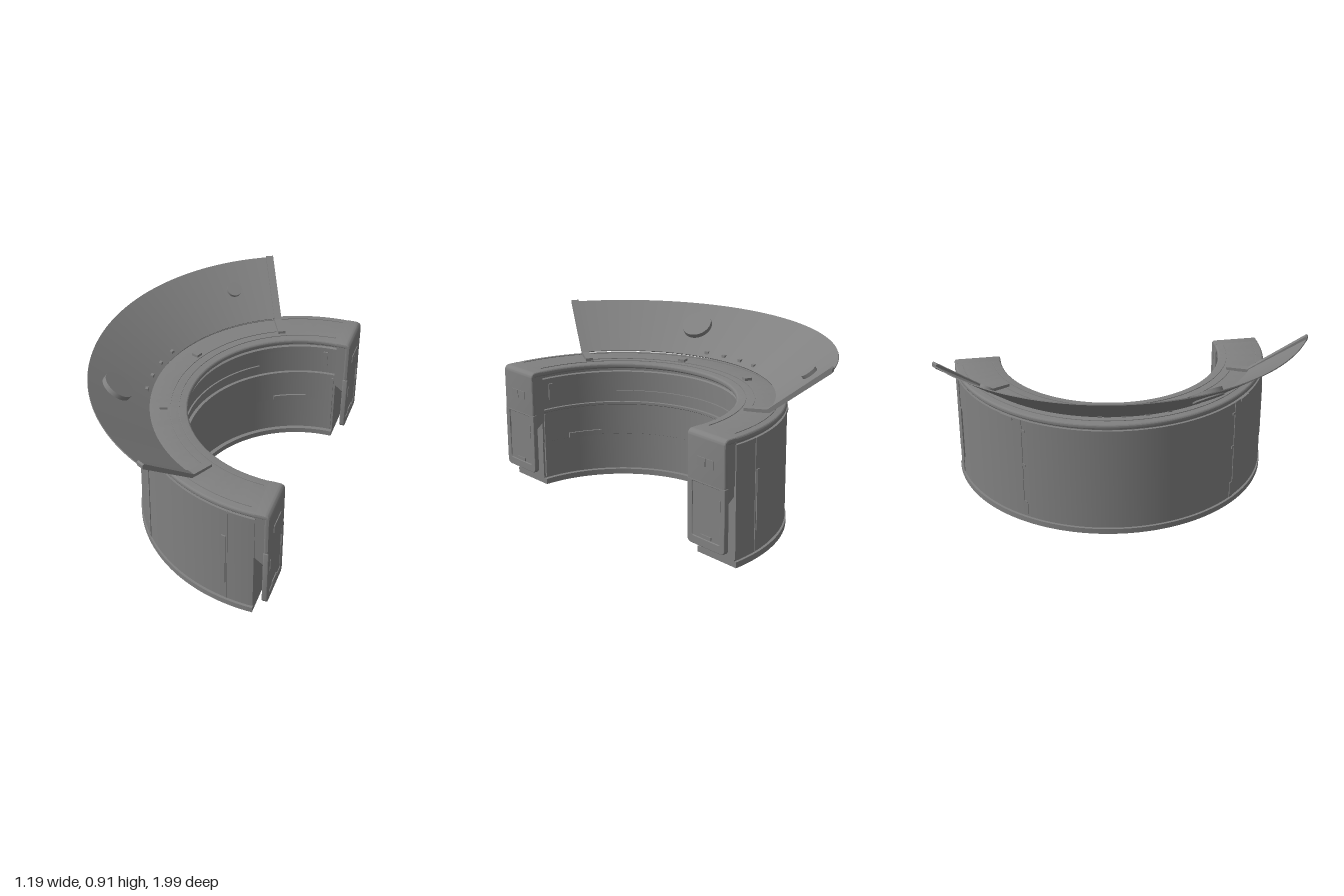
import * as THREE from 'three';
import { toCreasedNormals } from 'three/addons/utils/BufferGeometryUtils.js';

const CENTRE_X = 0.52; // centre of every arc
const rad = THREE.MathUtils.degToRad;
const grey = new THREE.MeshStandardMaterial({ color: 0x808080 });
const greyDouble = new THREE.MeshStandardMaterial({ color: 0x808080, side: THREE.DoubleSide });

function mesh(name, geometry, material = grey) {
  const m = new THREE.Mesh(geometry, material);
  m.name = name;
  return m;
}

// Turns an object so its local x points radially; 0 degrees is -x, +90 is +z.
function polar(object, degrees) {
  const g = new THREE.Group();
  g.name = object.name;
  g.add(object);
  g.rotation.y = rad(degrees) + Math.PI;
  return g;
}

// Sweeps a counter-clockwise closed [radius, y] profile along an arc and caps both ends.
function ring(name, profile, from = -90, to = 90) {
  const g = new THREE.Group();
  g.name = name;
  const pts = profile.map(([r, y]) => new THREE.Vector2(r, y));
  const lathe = new THREE.LatheGeometry([...pts, pts[0].clone()], 96, rad(from) + Math.PI * 1.5, rad(to - from));
  g.add(mesh(name, toCreasedNormals(lathe, 0.35)));
  for (const a of [from, to]) {
    g.add(polar(mesh(name + 'End', new THREE.ShapeGeometry(new THREE.Shape(pts)), greyDouble), a));
  }
  return g;
}

const band = (r0, r1, y0, y1) => [[r0, y0], [r1, y0], [r1, y1], [r0, y1]];

// Box sitting on a curved wall: w along the arc, h up, d radial.
function wallBox(name, degrees, r, y, w, h, d) {
  const m = mesh(name, new THREE.BoxGeometry(d, h, w));
  m.position.set(r, y, 0);
  return polar(m, degrees);
}

function block(name, x0, x1, y0, y1, z0, z1) {
  const m = mesh(name, new THREE.BoxGeometry(x1 - x0, y1 - y0, z1 - z0));
  m.position.set((x0 + x1) / 2, (y0 + y1) / 2, (z0 + z1) / 2);
  return m;
}

// Rectangle with its own corner radius at the bottom and at the top
function roundedRect(path, x0, y0, x1, y1, rb, rt) {
  path.absarc(x1 - rb, y0 + rb, rb, -Math.PI / 2, 0);
  path.absarc(x1 - rt, y1 - rt, rt, 0, Math.PI / 2);
  path.absarc(x0 + rt, y1 - rt, rt, Math.PI / 2, Math.PI);
  path.absarc(x0 + rb, y0 + rb, rb, Math.PI, Math.PI * 1.5);
  path.closePath();
  return path;
}

// End unit of one arm, built around z = 0
function armEnd() {
  const g = new THREE.Group();
  g.name = 'armEnd';

  // Counter lip that bends over and down the end, with a core behind it
  const side = new THREE.Shape();
  side.moveTo(-0.006, 0.625);
  side.lineTo(0.046, 0.625);
  side.lineTo(0.046, 0.41);
  side.lineTo(0.073, 0.41);
  side.lineTo(0.073, 0.625);
  side.absarc(0.045, 0.625, 0.028, 0, Math.PI / 2);
  side.lineTo(-0.006, 0.653);
  const lip = new THREE.ExtrudeGeometry(side, {
    depth: 0.235, bevelSize: 0.01, bevelThickness: 0.01, bevelOffset: -0.01, bevelSegments: 3, curveSegments: 4,
  });
  lip.translate(0, 0, -0.1175);
  g.add(mesh('endLip', toCreasedNormals(lip, 0.35)));
  g.add(block('endCore', -0.005, 0.06, 0.412, 0.64, -0.121, 0.121));

  // Hanging front panel with a recessed door
  const front = roundedRect(new THREE.Shape(), -0.1275, 0.08, 0.1275, 0.412, 0.025, 0.004);
  front.holes.push(roundedRect(new THREE.Path(), -0.093, 0.125, 0.093, 0.4, 0.008, 0.004));
  const panel = new THREE.ExtrudeGeometry(front, {
    depth: 0.016, bevelSize: 0.004, bevelThickness: 0.006, bevelOffset: -0.004, bevelSegments: 3, curveSegments: 6,
  });
  panel.rotateY(Math.PI / 2).translate(0.051, 0, 0);
  g.add(mesh('endPanel', toCreasedNormals(panel, 0.35)));
  g.add(block('recessedDoor', 0.05, 0.068, 0.11, 0.408, -0.11, 0.11));
  g.add(block('doorLatch', 0.06, 0.073, 0.127, 0.145, -0.035, 0.035));
  for (const s of [-1, 1]) {
    g.add(block('doorGrip', 0.06, 0.076, 0.28, 0.35, s * 0.095 - 0.004, s * 0.095 + 0.004));
    g.add(block('socket', 0.06, 0.077, 0.492, 0.535, s * 0.029 - 0.027, s * 0.029 + 0.027));
  }

  // Wedge bracket behind the panel
  const wedge = new THREE.Shape();
  wedge.moveTo(-0.005, 0.415);
  wedge.lineTo(-0.005, 0.362);
  wedge.lineTo(0.052, 0.318);
  wedge.lineTo(0.052, 0.415);
  const bracket = new THREE.ExtrudeGeometry(wedge, { depth: 0.23, bevelEnabled: false });
  bracket.translate(0, 0, -0.115);
  g.add(mesh('wedgeBracket', bracket));
  return g;
}

export function createModel() {
  const model = new THREE.Group();
  model.name = 'curvedCounter';
  const arc = new THREE.Group();
  arc.name = 'counter';
  arc.position.x = CENTRE_X;
  model.add(arc);

  // Base, stepped body and rounded counter top
  arc.add(ring('base', band(0.612, 0.876, 0, 0.03)));
  arc.add(ring('body', [
    [0.635, 0.025], [0.862, 0.025], [0.862, 0.04], [0.87, 0.04], [0.87, 0.615], [0.856, 0.615], [0.856, 0.645],
    [0.64, 0.645], [0.64, 0.605], [0.628, 0.6], [0.628, 0.575], [0.643, 0.572], [0.643, 0.425],
    [0.626, 0.425], [0.626, 0.412], [0.632, 0.408], [0.632, 0.237], [0.636, 0.235],
  ]));
  const top = [];
  const corner = (r, y, start) => {
    for (let i = 0; i <= 4; i++) {
      const t = rad(start + i * 22.5);
      top.push([r + 0.014 * Math.cos(t), y + 0.014 * Math.sin(t)]);
    }
  };
  corner(0.856, 0.635, -90);
  corner(0.856, 0.639, 0);
  corner(0.629, 0.639, 90);
  corner(0.629, 0.635, 180);
  arc.add(ring('counterTop', top));

  // Fine trim lines on the counter top and inner wall
  for (const [r, a] of [[0.66, 88], [0.705, 60], [0.826, 88]]) {
    arc.add(ring('topTrim', band(r, r + 0.004, 0.65, 0.6565), -a, a));
  }
  arc.add(ring('innerTrim', band(0.634, 0.65, 0.482, 0.488), -50, 50));

  // Flared canopy
  arc.add(ring('canopy', [[0.815, 0.668], [1.117, 0.892], [1.115, 0.897], [0.812, 0.673]], -62.3, 62.3));

  // Portholes: the large one passes through the canopy, the small one sits on its inside
  for (const [a, r, y, radius, depth] of [[21.3, 0.972, 0.801, 0.084, 0.04], [-48.5, 0.974, 0.803, 0.042, 0.022]]) {
    const disc = mesh('porthole', new THREE.CylinderGeometry(radius, radius, depth, 40));
    disc.position.set(r, y, 0);
    disc.rotation.z = 0.64;
    arc.add(polar(disc, a));
  }

  // Small clips along the canopy's lower edge
  for (const a of [-12.5, -4.2, 4.2, 12.5]) {
    arc.add(wallBox('canopyClip', a, 0.836, 0.69, 0.022, 0.02, 0.016));
  }

  // Cross-section of the canopy's end rails, with a flat foot
  const railShape = new THREE.Shape([
    [0.685, 0.65], [0.815, 0.655], [1.116, 0.884], [1.116, 0.904], [1.106, 0.908], [0.803, 0.672], [0.685, 0.668],
  ].map(([r, y]) => new THREE.Vector2(r, y)));

  for (const s of [-1, 1]) {
    const rail = new THREE.ExtrudeGeometry(railShape, { depth: 0.04, bevelEnabled: false });
    rail.translate(0, 0, -0.02);
    arc.add(polar(mesh('canopyRail', rail), s * 62.2));
    arc.add(wallBox('canopyFoot', s * 19.8, 0.74, 0.659, 0.04, 0.016, 0.04));

    const end = armEnd();
    end.position.z = s * 0.7425;
    arc.add(end);

    // Outer wall seams, handle, latch and hinges
    for (const a of [41, 80.7]) arc.add(wallBox('seam', s * a, 0.87, 0.328, 0.006, 0.575, 0.008));
    arc.add(wallBox('doorHandle', s * 79.5, 0.87, 0.302, 0.024, 0.31, 0.014));
    arc.add(wallBox('topLatch', s * 47.2, 0.869, 0.607, 0.08, 0.018, 0.012));
    for (const y of [0.35, 0.553]) arc.add(wallBox('hinge', s * 40.3, 0.869, y, 0.025, 0.014, 0.012));
    arc.add(wallBox('lowerHinge', s * 40.2, 0.869, 0.085, 0.026, 0.09, 0.01));

    // Inner wall plates and end slots
    arc.add(ring('innerPlate', band(0.622, 0.64, 0.235, 0.265), s * 66.5 - 8.5, s * 66.5 + 8.5));
    arc.add(wallBox('innerSlot', s * 84, 0.64, 0.52, 0.025, 0.09, 0.012));
    arc.add(wallBox('innerPost', s * 88.5, 0.632, 0.22, 0.012, 0.36, 0.014));
  }
  return model;
}
